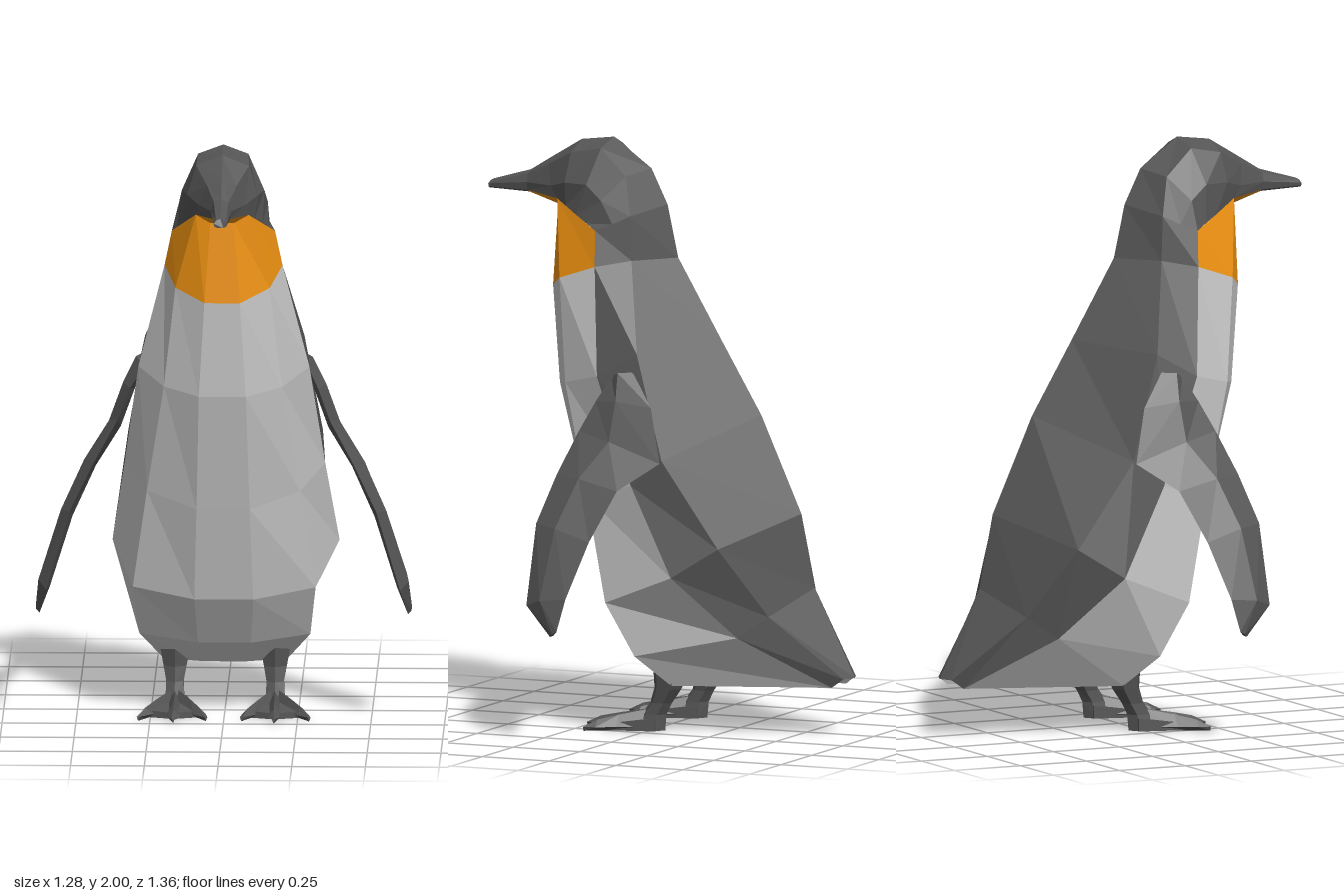
import * as THREE from 'three';

const COLORS = { dark: 0x555555, light: 0xcccccc, orange: 0xf29412 };
const materials = {};
for (const key in COLORS) {
  materials[key] = new THREE.MeshStandardMaterial({ color: COLORS[key], flatShading: true });
}

// Skin a stack of closed loops; pick(row, column) chooses the colour of each cell.
// side = -1 builds the mirror image across x = 0.
function skin(name, rings, { pick = () => 'dark', side = 1, capStart = null, capEnd = null } = {}) {
  const buckets = {};
  const tri = (key, a, b, c) => {
    const list = (buckets[key] ??= []);
    for (const p of side > 0 ? [a, b, c] : [a, c, b]) list.push(p[0] * side, p[1], p[2]);
  };
  const n = rings[0].length;
  for (let i = 0; i < rings.length - 1; i++) {
    for (let j = 0; j < n; j++) {
      const k = (j + 1) % n, key = pick(i, j);
      tri(key, rings[i][j], rings[i + 1][j], rings[i + 1][k]);
      tri(key, rings[i][j], rings[i + 1][k], rings[i][k]);
    }
  }
  const first = rings[0], last = rings[rings.length - 1];
  for (let j = 1; j < n - 1; j++) {
    if (capStart) tri(capStart, first[0], first[j], first[j + 1]);
    if (capEnd) tri(capEnd, last[0], last[j + 1], last[j]);
  }
  const group = new THREE.Group();
  group.name = name;
  for (const key in buckets) {
    const geometry = new THREE.BufferGeometry();
    geometry.setAttribute('position', new THREE.Float32BufferAttribute(buckets[key], 3));
    geometry.computeVertexNormals();
    const mesh = new THREE.Mesh(geometry, materials[key]);
    mesh.name = `${name}_${key}`;
    group.add(mesh);
  }
  return group;
}

// Complete a half section whose last point lies on the mirror plane
const mirrored = (half) => [
  ...half,
  ...half.slice(0, -1).reverse().map(([x, y, z]) => [-x, y, z]),
];

// Body sections from throat to tail: front, front side, flank, back side, spine
function createBody() {
  const rings = [
    [[.04, 1.765, .41], [.09, 1.79, .39], [.175, 1.7, .21], [.13, 1.75, .1], [0, 1.78, .02]],
    [[.06, 1.49, .42], [.16, 1.53, .35], [.2, 1.58, .2], [.14, 1.6, .09], [0, 1.6, -.02]],
    [[.08, 1.16, .385], [.2, 1.18, .31], [.29, 1.22, .15], [.27, 1.3, .01], [0, 1.33, -.18]],
    [[.09, .75, .275], [.26, .8, .2], [.34, .86, 0], [.33, .95, -.11], [0, 1.08, -.33]],
    [[.1, .42, .18], [.31, .45, .11], [.385, .56, -.17], [.33, .66, -.32], [0, .75, -.48]],
    [[.09, .25, .07], [.29, .27, .01], [.26, .35, -.36], [.2, .42, -.45], [0, .5, -.53]],
    [[.07, .17, -.01], [.21, .165, -.09], [.06, .17, -.62], [.05, .2, -.66], [0, .2, -.68]],
  ].map(mirrored);
  const pick = (row, col) => (col >= 2 && col <= 5 ? 'dark' : row === 0 ? 'orange' : 'light');
  return skin('body', rings, { pick, capEnd: 'light' });
}

// Head sections from beak tip to neck: underside, jaw, cheek, brow, crown
function createHead() {
  const rings = [
    [[.01, 1.8, .68], [.02, 1.805, .68], [.022, 1.815, .68], [.015, 1.825, .675], [0, 1.83, .67]],
    [[.012, 1.795, .53], [.03, 1.803, .53], [.035, 1.83, .53], [.025, 1.86, .53], [0, 1.87, .53]],
    [[.04, 1.765, .41], [.09, 1.79, .39], [.08, 1.83, .42], [.05, 1.9, .44], [0, 1.925, .44]],
    [[.11, 1.77, .35], [.11, 1.77, .35], [.12, 1.85, .35], [.09, 1.95, .34], [0, 1.985, .34]],
    [[.135, 1.745, .3], [.135, 1.745, .3], [.14, 1.85, .26], [.085, 1.97, .23], [0, 2, .22]],
    [[.155, 1.72, .25], [.155, 1.72, .25], [.15, 1.8, .2], [.1, 1.88, .13], [0, 1.9, .08]],
    [[.175, 1.7, .21], [.175, 1.7, .21], [.155, 1.723, .155], [.13, 1.75, .1], [0, 1.78, .02]],
  ].map(mirrored);
  const pick = (row, col) => (row === 1 && (col === 0 || col >= 7) ? 'orange' : 'dark');
  return skin('headAndBeak', rings, { pick, capStart: 'dark' });
}

// Flipper: leading and trailing edge points joined by thin diamond sections
function createFlipper(side) {
  const edges = [
    [[.28, 1.22, .1], [.28, 1.24, .02]],
    [[.32, 1.14, .14], [.33, 1.13, -.07]],
    [[.36, 1.04, .185], [.39, .95, -.13]],
    [[.44, .9, .23], [.475, .86, -.01]],
    [[.52, .74, .27], [.55, .69, .06]],
    [[.6, .47, .27], [.62, .5, .115]],
    [[.625, .37, .17], [.638, .39, .14]],
  ];
  const rings = edges.map(([lead, trail], i) => {
    const t = i === edges.length - 1 ? .006 : .02;
    const mid = (s) => [
      lead[0] * .6 + trail[0] * .4 + s * t,
      lead[1] * .6 + trail[1] * .4 + s * t * .5,
      lead[2] * .6 + trail[2] * .4,
    ];
    return [lead, mid(1), trail, mid(-1)];
  });
  return skin(side > 0 ? 'leftFlipper' : 'rightFlipper', rings, { side, capStart: 'dark', capEnd: 'dark' });
}

// Leg with a webbed, three-toed foot
function createLeg(side) {
  const group = new THREE.Group();
  group.name = side > 0 ? 'leftLeg' : 'rightLeg';
  const X = .17;

  const shank = [
    [.22, -.075, .06, .07], [.15, -.06, .045, .05], [.1, -.035, .034, .04],
    [.06, -.01, .036, .045], [.005, 0, .045, .05],
  ].map(([y, z, rx, rz]) => Array.from({ length: 6 }, (_, k) => {
    const a = (k / 6) * Math.PI * 2;
    return [X + rx * Math.sin(a), y, z + rz * Math.cos(a)];
  }));
  group.add(skin('shank', shank, { side, capEnd: 'dark' }));

  // Each toe tapers forward into a claw
  for (const [tx, tz] of [[-.11, .2], [0, .24], [.12, .2]]) {
    const toe = [
      [0, .08, .035], [.5, .058, .024], [.8, .042, .022], [1, .015, .005],
    ].map(([t, top, w]) => {
      const x = X + tx * t, z = -.01 + (tz + .01) * t;
      return [[x, top, z], [x + w, .018, z], [x, .004, z], [x - w, .018, z]];
    });
    group.add(skin('toe', toe, { side, capStart: 'dark', capEnd: 'dark' }));
  }

  const outline = [[0, .17], [.085, .14], [.04, -.03], [-.04, -.03], [-.08, .14]];
  const web = [1, 0].map((top) => outline.map(([x, z]) => [X + x, top ? .045 - z * .12 : .005, z]));
  group.add(skin('web', web, { side, capStart: 'dark', capEnd: 'dark' }));
  return group;
}

export function createModel() {
  const model = new THREE.Group();
  model.name = 'penguin';
  model.add(createBody(), createHead());
  for (const side of [1, -1]) model.add(createFlipper(side), createLeg(side));
  return model;
}
